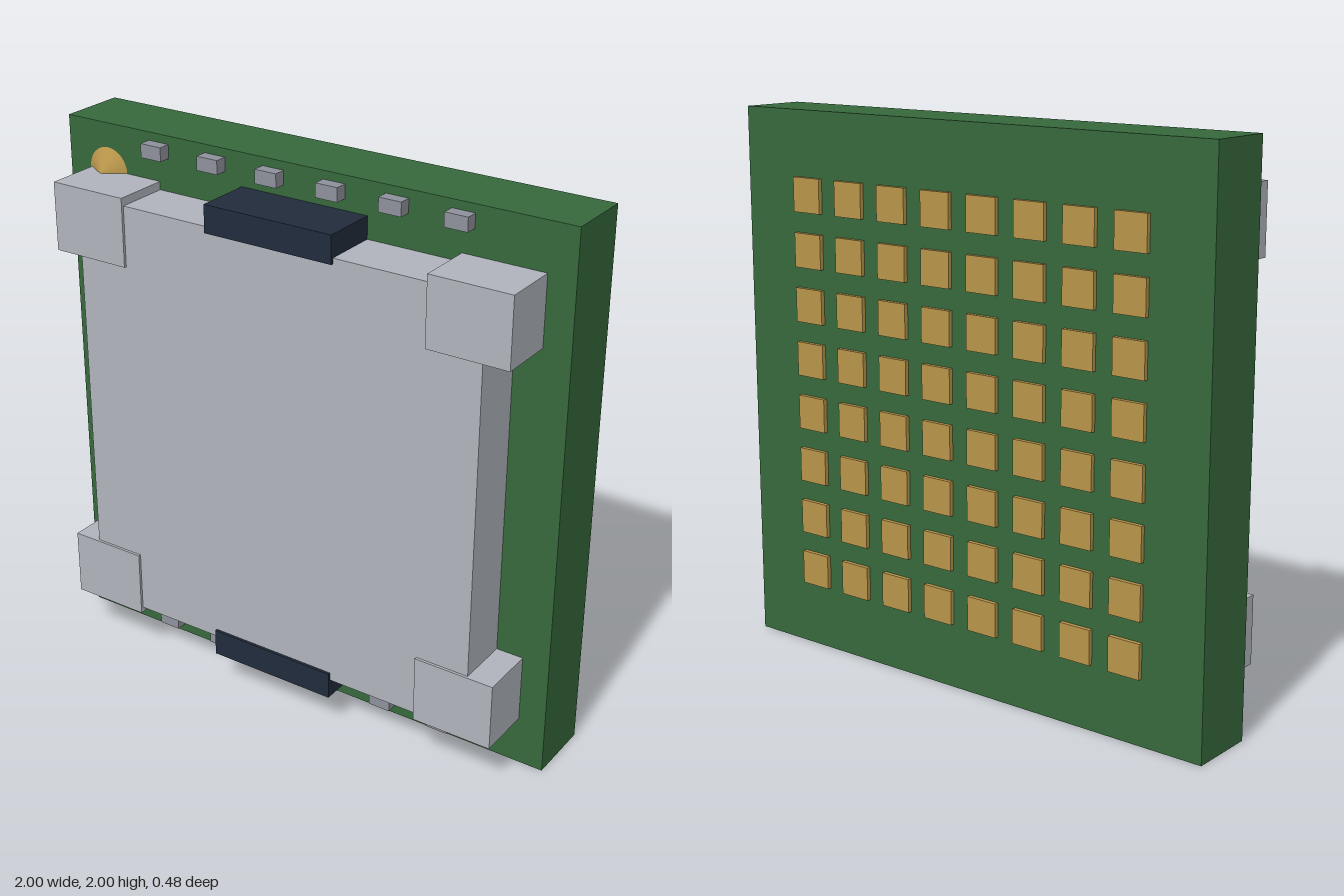
import * as THREE from 'three';

const mat = (name, color) => Object.assign(new THREE.MeshStandardMaterial({ color }), { name });

export function createModel() {
  const green = mat('board green', 0x36693c);
  const silver = mat('lid silver', 0xb0b4bc);
  const grey = mat('capacitor grey', 0x8e919c);
  const navy = mat('clip navy', 0x212c3c);
  const gold = mat('contact gold', 0xb8954a);

  const model = new THREE.Group();
  const front = 0.0275; // front face of the board
  const back = front - 0.25;

  // Box given by centre x, y, size w, h, and its z range
  const box = (name, material, x, y, w, h, z0, z1, parent = model) => {
    const mesh = new THREE.Mesh(new THREE.BoxGeometry(w, h, z1 - z0), material);
    mesh.position.set(x, y, (z0 + z1) / 2);
    mesh.name = name;
    parent.add(mesh);
  };
  const group = (name) => {
    const g = new THREE.Group();
    g.name = name;
    model.add(g);
    return g;
  };

  // Board and heat spreader lid
  box('board', green, 0, 1, 2, 2, back, front);
  box('heatSpreader', silver, 0, 1, 1.6, 1.6, front, front + 0.2);

  // Corner blocks
  const corners = group('cornerBlocks');
  for (const x of [-0.75, 0.75])
    for (const y of [0.305, 1.705])
      box('cornerBlock', silver, x, y, 0.3, 0.25, front, front + 0.21, corners);

  // Dark clips at top and bottom of the lid
  box('topClip', navy, 0, 1.83, 0.5, 0.1, front, front + 0.21);
  box('bottomClip', navy, 0, 0.18, 0.5, 0.1, front, front + 0.21);

  // Rows of small capacitors
  const capacitors = group('capacitors');
  for (const y of [0.06, 1.945])
    for (let i = 0; i < 6; i++)
      box('capacitor', grey, -0.6 + i * 0.24, y, 0.085, 0.05, front, front + 0.045, capacitors);

  // Gold cone marking the first pin
  const marker = new THREE.Mesh(new THREE.ConeGeometry(0.083, 0.05, 32), gold);
  marker.name = 'pinMarker';
  marker.rotation.x = Math.PI / 2;
  marker.position.set(-0.828, 1.828, front + 0.025);
  model.add(marker);

  // Grid of contact pads on the back
  const pads = group('contactPads');
  for (let i = 0; i < 8; i++)
    for (let j = 0; j < 8; j++)
      box('contactPad', gold, -0.7 + i * 0.2, 0.3 + j * 0.2, 0.125, 0.125, back - 0.016, back, pads);

  return model;
}
